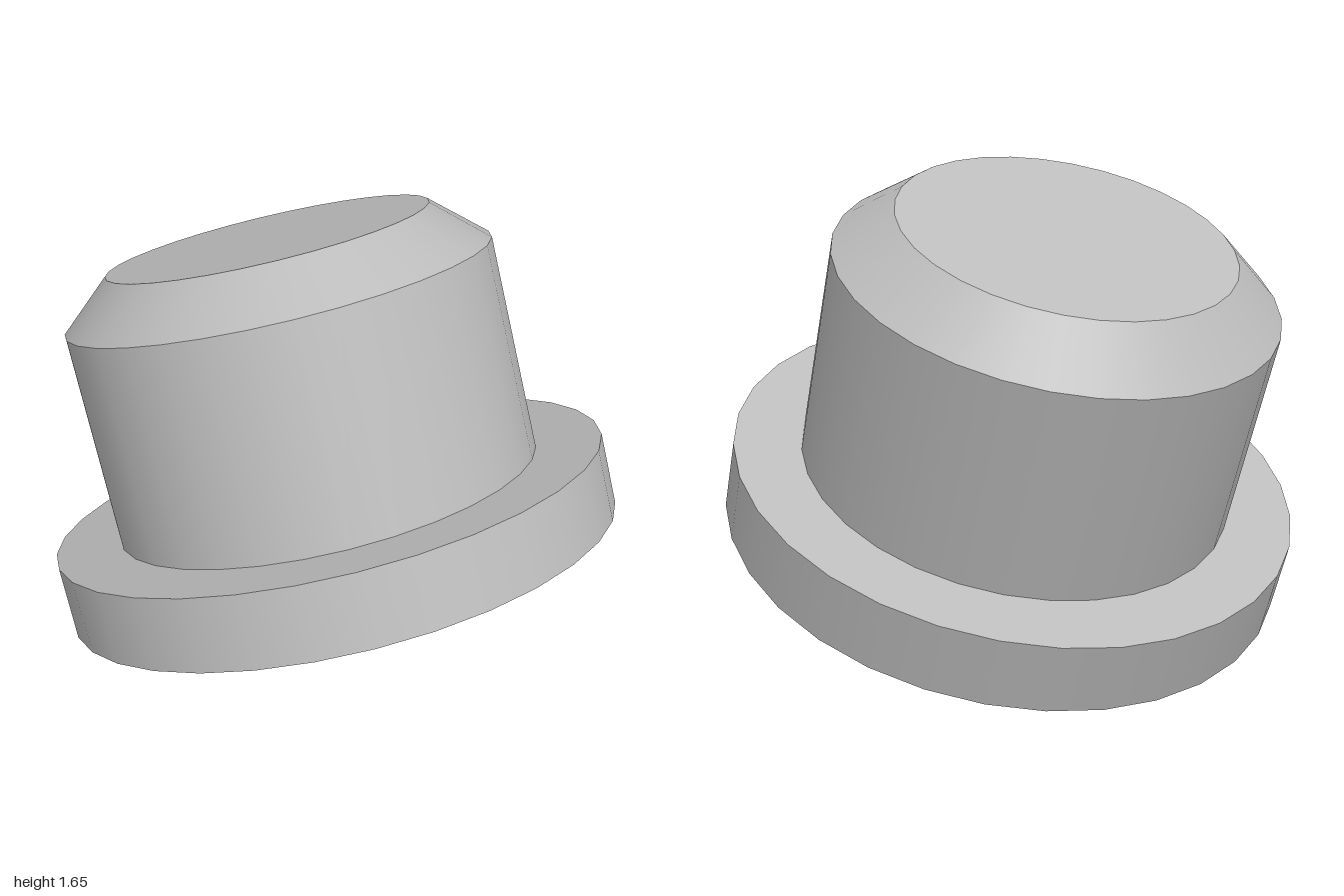
import * as THREE from 'three';

const SEGMENTS = 32;

export function createModel() {
  const model = new THREE.Group();
  const grey = new THREE.MeshStandardMaterial({ color: 0xbcbcbc });
  grey.name = 'light grey';

  // All parts share one axis, leaning 20 degrees towards -x.
  const plug = new THREE.Group();
  plug.name = 'tiltedPlug';
  plug.rotation.z = THREE.MathUtils.degToRad(20);
  plug.position.set(0.065, 0.34, 0);
  model.add(plug);

  // One straight-sided section of the turned profile, from y0 to y1.
  function section(name, r0, r1, y0, y1, open = false) {
    const geometry = new THREE.CylinderGeometry(r1, r0, y1 - y0, SEGMENTS, 1, open);
    const mesh = new THREE.Mesh(geometry, grey);
    mesh.name = name;
    mesh.position.y = (y0 + y1) / 2;
    plug.add(mesh);
  }

  section('flange', 0.995, 0.995, 0, 0.257);
  section('body', 0.761, 0.761, 0.257, 1.02, true);
  section('bevel', 0.761, 0.576, 1.02, 1.182, true);

  // Flat end face
  const cap = new THREE.Mesh(new THREE.CircleGeometry(0.576, SEGMENTS), grey);
  cap.name = 'topFace';
  cap.rotation.x = -Math.PI / 2;
  cap.position.y = 1.182;
  plug.add(cap);

  return model;
}
